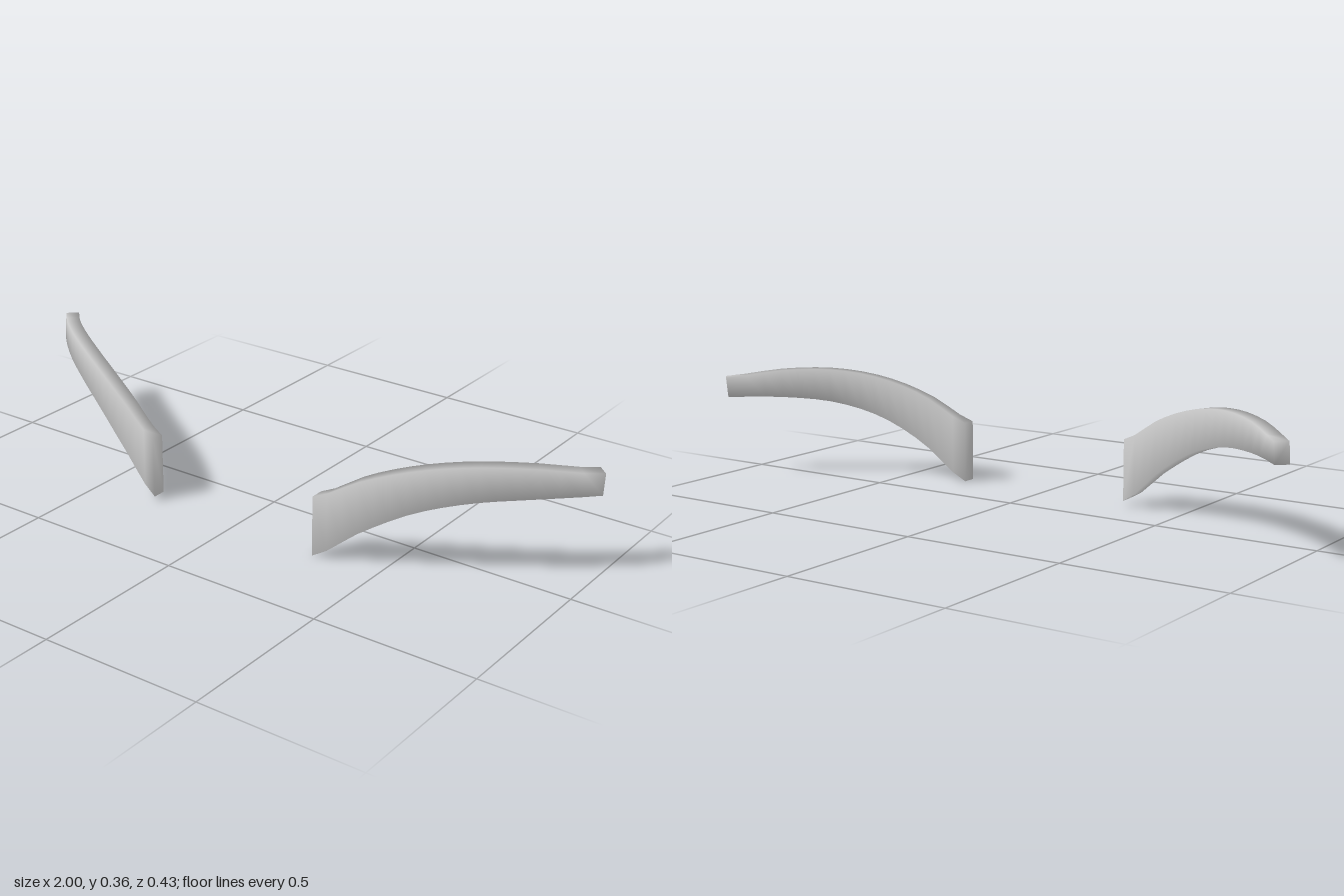
import * as THREE from 'three';

// Edge heights at even steps from the inner end to the outer end
const curveOf = (ys) => new THREE.SplineCurve(ys.map((y, i) => new THREE.Vector2(i / (ys.length - 1), y)));
const topEdge = curveOf([0.19, 0.265, 0.317, 0.342, 0.341, 0.32]);
const bottomEdge = curveOf([0.003, 0.107, 0.19, 0.236, 0.253, 0.257]);

const RINGS = 16;
const THICKNESS = 0.042;

// Tapered bar with a four-cornered section, swept along a horizontal arc
function brow(name, side, { inner, radius, cx, cz, lift }) {
  const positions = [];
  const index = [];
  const quad = (a, b, c, d) => {
    if (side > 0) index.push(a, b, c, a, c, d);
    else index.push(a, c, b, a, d, c);
  };

  for (let i = 0; i <= RINGS; i++) {
    const u = i / RINGS;
    const x = inner + (1 - inner) * u;
    const angle = Math.asin((x - cx) / radius);
    const z = cz + radius * Math.cos(angle);
    // the inner end is cut square, the outer end across the arc
    const cut = angle * Math.min(1, u * 4);
    const top = topEdge.getPoint(u).y + lift;
    const bottom = bottomEdge.getPoint(u).y + lift;
    const lean = 0.008 * u;
    const corners = [[0, top, lean], [0, bottom, 0], [THICKNESS, bottom, 0], [THICKNESS, top, lean]];
    for (const [depth, y, back] of corners) {
      positions.push(side * (x - depth * Math.sin(cut)), y, z - depth * Math.cos(cut) - back);
    }
  }

  for (let i = 0; i < RINGS; i++) {
    for (let k = 0; k < 4; k++) {
      const n = (k + 1) % 4;
      quad(i * 4 + k, i * 4 + n, i * 4 + 4 + n, i * 4 + 4 + k);
    }
  }
  // end caps share their corners, so the shading rolls over the edges
  const e = RINGS * 4;
  quad(0, 3, 2, 1);
  quad(e, e + 1, e + 2, e + 3);

  const geometry = new THREE.BufferGeometry();
  geometry.setAttribute('position', new THREE.Float32BufferAttribute(positions, 3));
  geometry.setIndex(index);
  geometry.computeVertexNormals();
  const mesh = new THREE.Mesh(geometry, new THREE.MeshStandardMaterial({ color: 0xcccccc }));
  mesh.name = name;
  return mesh;
}

export function createModel() {
  const group = new THREE.Group();
  group.name = 'eyebrows';
  // the right brow sits slightly higher and sweeps further back
  group.add(
    brow('leftEyebrow', 1, { inner: 0.29, radius: 1.222, cx: 0.121, cz: -0.998, lift: 0 }),
    brow('rightEyebrow', -1, { inner: 0.295, radius: 1.237, cx: 0.081, cz: -1.011, lift: 0.014 }),
  );
  return group;
}
